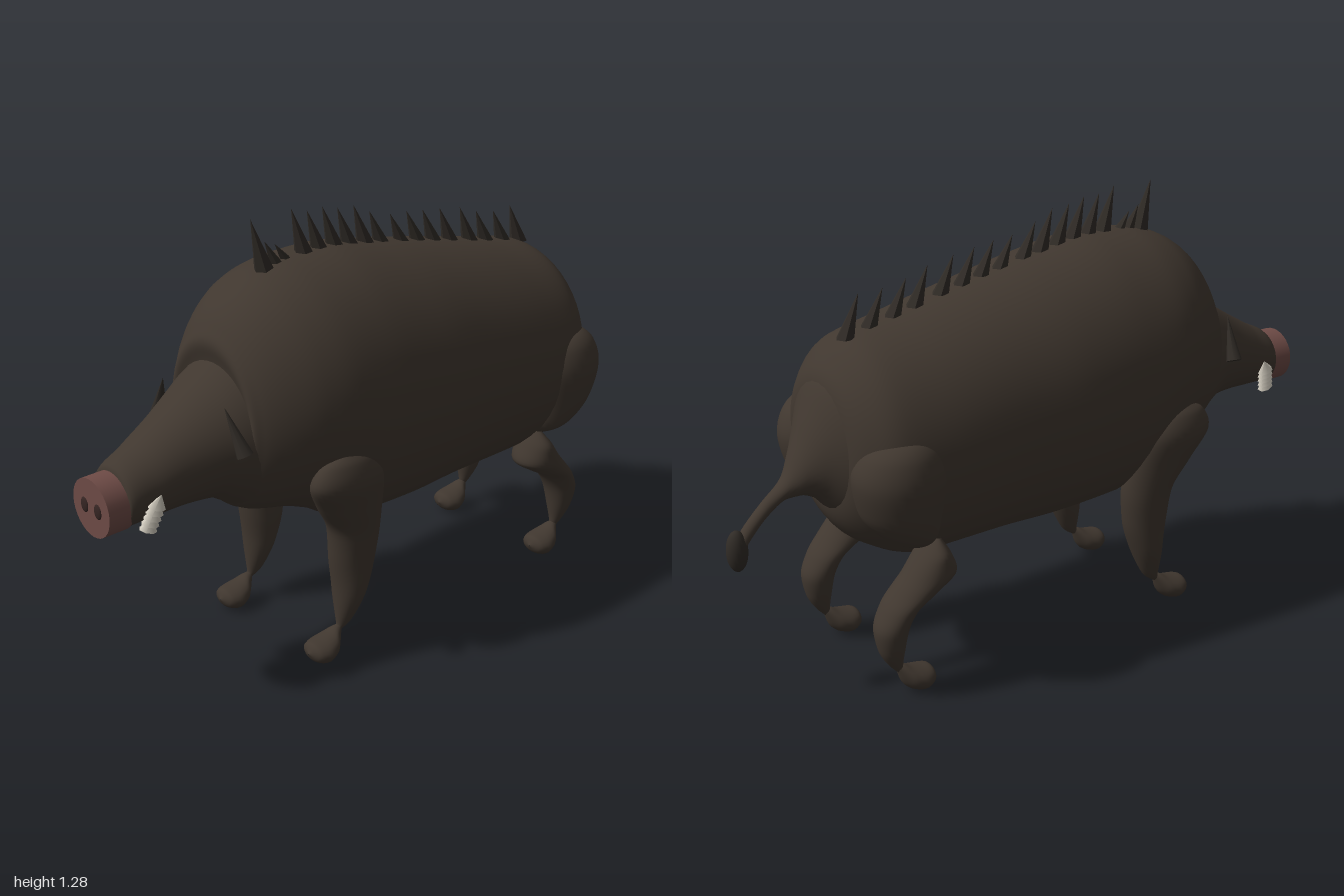
import * as THREE from 'three';

const material = (name, color, extra = {}) => {
  const m = new THREE.MeshStandardMaterial({ color, ...extra });
  m.name = name;
  return m;
};

// Monotone smooth interpolation of one column of a ring table
function sample(rings, k, t) {
  const n = rings.length - 1;
  const i = Math.min(Math.floor(t), n - 1), f = t - i;
  const step = (j) => rings[j + 1][k] - rings[j][k];
  const slope = (j) => {
    if (j === 0) return step(0);
    if (j === n) return step(n - 1);
    const a = step(j - 1), b = step(j);
    return a * b <= 0 ? 0 : (2 * a * b) / (a + b);
  };
  const f2 = f * f, f3 = f2 * f;
  return rings[i][k] * (2 * f3 - 3 * f2 + 1) + rings[i + 1][k] * (3 * f2 - 2 * f3)
    + slope(i) * (f3 - 2 * f2 + f) + slope(i + 1) * (f3 - f2);
}

// Smooth skin over elliptical rings [height, x0, x1, v0, v1], ascending along the axis;
// v is y when the axis is z, and z when the axis is y
function loft(rings, axis, sides = 32, steps = 6) {
  const pos = [], index = [], rows = (rings.length - 1) * steps;
  for (let r = 0; r <= rows; r++) {
    const [h, x0, x1, v0, v1] = [0, 1, 2, 3, 4].map((k) => sample(rings, k, r / steps));
    for (let j = 0; j < sides; j++) {
      const a = (j / sides) * Math.PI * 2;
      const x = (x0 + x1) / 2 + ((x1 - x0) / 2) * Math.cos(a);
      const s = ((v1 - v0) / 2) * Math.sin(a), c = (v0 + v1) / 2;
      if (axis === 'z') pos.push(x, c + s, h);
      else pos.push(x, h, c - s);
      if (r < rows) {
        const k = (j + 1) % sides, p = r * sides, q = p + sides;
        index.push(p + j, p + k, q + j, p + k, q + k, q + j);
      }
    }
  }
  const g = new THREE.BufferGeometry();
  g.setAttribute('position', new THREE.Float32BufferAttribute(pos, 3));
  g.setIndex(index);
  g.computeVertexNormals();
  return g;
}

// Rings symmetric about x = 0 from [z, halfWidth, bottom, top]
const centred = (list) => list.map(([z, r, lo, hi]) => [z, -r, r, lo, hi]);
// Same rings moved to the given side
const onSide = (s, list) => list.map(([h, a, b, c, d]) => (s > 0 ? [h, a, b, c, d] : [h, -b, -a, c, d]));

export function createModel() {
  const boar = new THREE.Group();
  boar.name = 'boar';
  const hide = material('hide brown', 0x40372f);
  const bristle = material('bristle dark brown', 0x302b26);
  const bristleFlat = bristle;
  const pink = material('snout pink', 0x6e4b46);
  const nostrilDark = material('nostril dark', 0x352523);
  const ivory = material('tusk ivory', 0xcfc9bc);

  const add = (name, geometry, mat, parent = boar) => {
    const m = new THREE.Mesh(geometry, mat);
    m.name = name;
    parent.add(m);
    return m;
  };

  // Barrel body with a rounded shoulder lip at the front
  add('body', loft(centred([
    [-0.715, 0.001, 0.69, 0.71], [-0.7, 0.16, 0.53, 0.88], [-0.66, 0.235, 0.45, 0.95],
    [-0.6, 0.28, 0.4, 1.0], [-0.45, 0.308, 0.342, 1.035], [-0.2, 0.32, 0.343, 1.09],
    [0, 0.332, 0.338, 1.13], [0.2, 0.33, 0.345, 1.16], [0.33, 0.318, 0.41, 1.155],
    [0.43, 0.29, 0.45, 1.135], [0.52, 0.242, 0.47, 1.085], [0.575, 0.2, 0.5, 1.02],
    [0.597, 0.175, 0.54, 0.97], [0.585, 0.15, 0.57, 0.91], [0.56, 0.001, 0.7, 0.71],
  ]), 'z', 48), hide);

  // Wedge-shaped head
  add('head', loft(centred([
    [0.45, 0.2, 0.46, 0.95], [0.53, 0.2, 0.475, 0.94], [0.6, 0.18, 0.52, 0.912],
    [0.66, 0.155, 0.55, 0.876], [0.75, 0.125, 0.556, 0.82], [0.85, 0.103, 0.553, 0.762],
    [0.93, 0.083, 0.55, 0.713], [0.935, 0.001, 0.62, 0.63],
  ]), 'z', 40), hide);

  // Snout disc and nostrils
  const snout = add('snout', new THREE.CylinderGeometry(0.083, 0.083, 0.075, 32), pink);
  snout.rotation.x = Math.PI / 2;
  snout.position.set(0, 0.627, 0.9575);

  // Tail with a broad root and a tuft
  add('tail', loft(centred([
    [-0.965, 0.02, 0.44, 0.5], [-0.94, 0.02, 0.478, 0.532], [-0.88, 0.021, 0.543, 0.59],
    [-0.82, 0.03, 0.582, 0.64], [-0.78, 0.058, 0.584, 0.715], [-0.74, 0.1, 0.57, 0.805],
    [-0.7, 0.155, 0.53, 0.885], [-0.67, 0.2, 0.5, 0.92],
  ]), 'z', 28), hide);
  const tuft = add('tailTuft', new THREE.SphereGeometry(1, 20, 14), bristle);
  tuft.scale.set(0.029, 0.06, 0.03);
  tuft.position.set(0, 0.468, -0.967);

  for (const s of [1, -1]) {
    const side = s > 0 ? 'left' : 'right';

    const nostril = add(side + 'Nostril', new THREE.SphereGeometry(1, 16, 10), nostrilDark);
    nostril.scale.set(0.016, 0.022, 0.005);
    nostril.position.set(s * 0.03, 0.627, 0.995);

    // Front leg: shoulder tapering to the ankle
    add(side + 'FrontLeg', loft(onSide(s, [
      [0.075, 0.199, 0.211, 0.325, 0.345], [0.1, 0.185, 0.225, 0.29, 0.336],
      [0.2, 0.15, 0.26, 0.24, 0.338], [0.3, 0.14, 0.27, 0.21, 0.348],
      [0.4, 0.14, 0.285, 0.2, 0.358], [0.5, 0.155, 0.31, 0.205, 0.415],
      [0.59, 0.19, 0.331, 0.225, 0.462], [0.65, 0.22, 0.315, 0.27, 0.435],
      [0.68, 0.275, 0.285, 0.34, 0.37],
    ]), 'y'), hide);

    // Hind leg: haunch, then a backward-bent shank
    add(side + 'Haunch', loft(onSide(s, [
      [0.43, 0.18, 0.2, -0.53, -0.51], [0.47, 0.12, 0.27, -0.61, -0.475],
      [0.56, 0.08, 0.315, -0.69, -0.46], [0.66, 0.08, 0.332, -0.712, -0.447],
      [0.73, 0.1, 0.318, -0.69, -0.465], [0.77, 0.13, 0.28, -0.64, -0.51],
      [0.783, 0.2, 0.21, -0.58, -0.57],
    ]), 'y'), hide);
    add(side + 'HindLeg', loft(onSide(s, [
      [0.07, 0.199, 0.211, -0.605, -0.59], [0.1, 0.185, 0.225, -0.632, -0.59],
      [0.15, 0.165, 0.245, -0.66, -0.585], [0.21, 0.15, 0.26, -0.67, -0.575],
      [0.27, 0.14, 0.27, -0.645, -0.545], [0.32, 0.135, 0.28, -0.605, -0.47],
      [0.36, 0.135, 0.285, -0.57, -0.42], [0.41, 0.145, 0.28, -0.53, -0.44],
      [0.46, 0.19, 0.24, -0.49, -0.47],
    ]), 'y'), hide);

    // Teardrop hooves
    for (const [name, z] of [['FrontHoof', 0], ['HindHoof', -0.935]]) {
      const hoof = add(side + name, loft(onSide(s, [
        [0.325, 0.199, 0.211, 0.085, 0.095], [0.345, 0.18, 0.23, 0.03, 0.092],
        [0.37, 0.16, 0.25, 0.008, 0.08], [0.4, 0.153, 0.257, 0, 0.072],
        [0.43, 0.165, 0.245, 0.012, 0.066], [0.446, 0.204, 0.206, 0.038, 0.042],
      ]), 'z', 20, 4), hide);
      hoof.position.z = z;
    }

    // Slim pointed ear leaning inwards
    const ear = add(side + 'Ear', new THREE.ConeGeometry(0.024, 0.14, 8), bristle);
    ear.position.set(s * 0.163, 0.79, 0.647);
    ear.rotation.set(0.15, 0, s * 0.42);

    // Jagged tusk of stacked spikes
    const tusk = new THREE.Group();
    tusk.name = side + 'Tusk';
    boar.add(tusk);
    for (let i = 0; i < 5; i++) {
      const spike = add('tuskSpike', new THREE.ConeGeometry(0.02, 0.04, 7), ivory, tusk);
      spike.scale.z = 1.4;
      spike.position.set(s * (0.09 + i * 0.004), 0.575 + i * 0.016, 0.877 - i * 0.005);
      spike.rotation.set(-0.35, 0, -s * 0.2);
    }
  }

  // Row of forward-leaning bristles along the spine: [tip z, tip y, base y]
  const spikes = [
    [0.445, 1.285, 1.13], [0.4, 1.215, 1.135], [0.365, 1.2, 1.14], [0.305, 1.285, 1.145],
    [0.25, 1.27, 1.145], [0.195, 1.27, 1.145], [0.14, 1.255, 1.14], [0.08, 1.25, 1.13],
    [0.02, 1.22, 1.12], [-0.06, 1.195, 1.105], [-0.125, 1.19, 1.095], [-0.19, 1.18, 1.08],
    [-0.26, 1.17, 1.065], [-0.345, 1.155, 1.045], [-0.415, 1.13, 1.03], [-0.49, 1.115, 1.015],
    [-0.565, 1.115, 0.995],
  ];
  const crest = new THREE.Group();
  crest.name = 'bristleCrest';
  boar.add(crest);
  for (const [z, tip, base] of spikes) {
    const h = tip - base, r = 0.014 + h * 0.11, lean = 0.045;
    const g = new THREE.ConeGeometry(r, h, 6).toNonIndexed();
    g.translate(0, h / 2, 0);
    g.applyMatrix4(new THREE.Matrix4().set(1, 0, 0, 0, 0, 1, 0, 0, 0, lean / h, 1, 0, 0, 0, 0, 1));
    g.computeVertexNormals();
    add('bristle', g, bristleFlat, crest).position.set(0, base, z - lean);
  }

  return boar;
}
